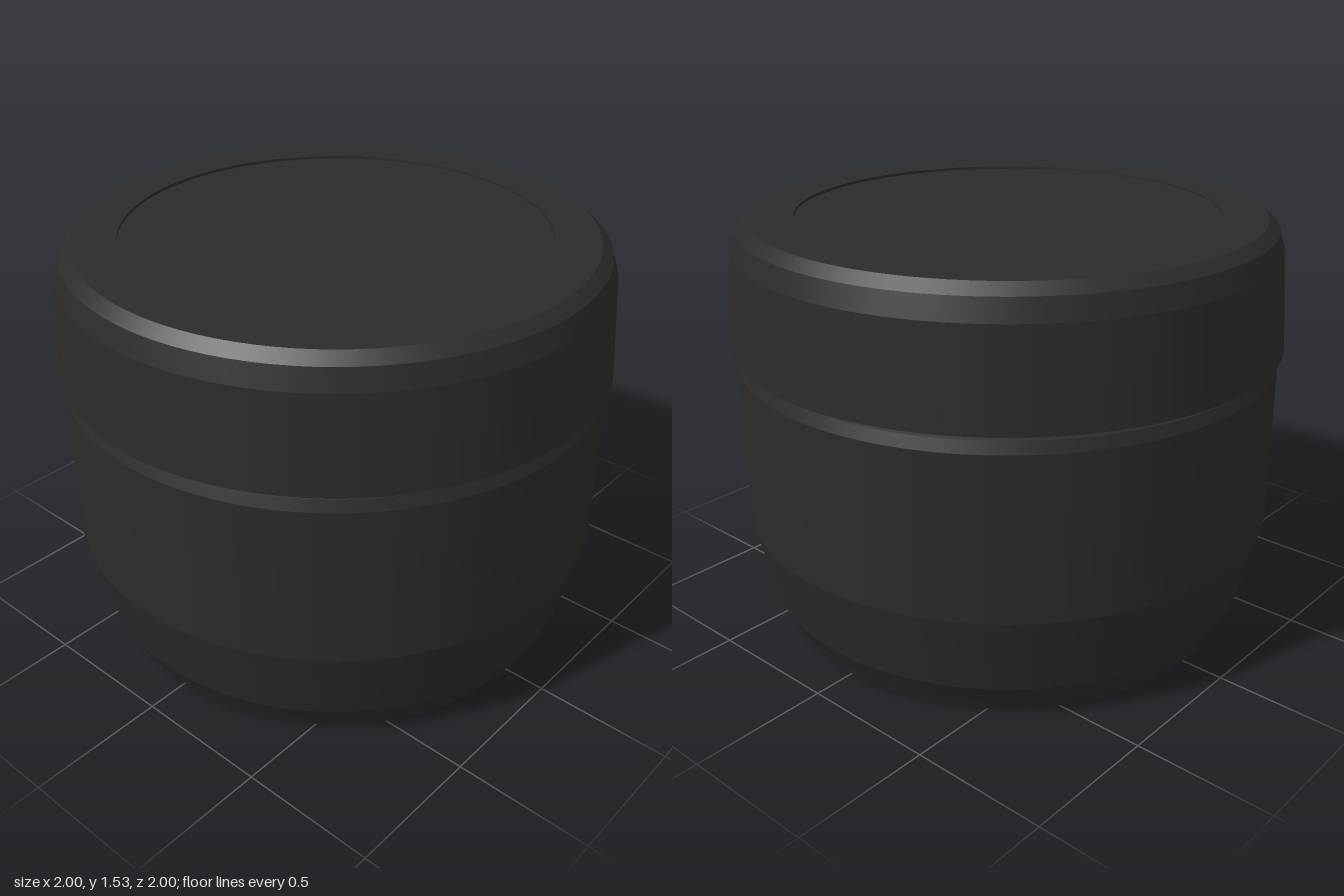
import * as THREE from 'three';
import { mergeGeometries } from 'three/addons/utils/BufferGeometryUtils.js';

const SEGMENTS = 96;

// Lathe that is smooth around the axis but keeps every profile corner sharp
function creasedLathe(profile) {
  const bands = [];
  for (let i = 0; i < profile.length - 1; i++) {
    const pair = [profile[i], profile[i + 1]].map(([r, y]) => new THREE.Vector2(r, y));
    bands.push(new THREE.LatheGeometry(pair, SEGMENTS));
  }
  return mergeGeometries(bands);
}

export function createModel() {
  const model = new THREE.Group();
  model.name = 'jar';

  const black = new THREE.MeshStandardMaterial({ color: 0x2b2b2b });
  black.name = 'charcoal black';

  const addPart = (name, profile) => {
    const mesh = new THREE.Mesh(creasedLathe(profile), black);
    mesh.name = name;
    model.add(mesh);
  };

  // Jar body: recessed base, chamfered foot, straight wall, shoulder and neck
  addPart('body', [
    [0, 0.07], [0.58, 0.07], [0.68, 0], [0.84, 0], [0.865, 0.05],
    [0.91, 0.128], [0.983, 0.425], [0.983, 1.012], [0.968, 1.053],
    [0.92, 1.073], [0.9, 1.09],
  ]);

  // Lid: flat underside, tapered skirt, bevelled rim, shallow recessed top
  addPart('lid', [
    [0.88, 1.077], [1, 1.077], [0.975, 1.42], [0.953, 1.495],
    [0.913, 1.53], [0.755, 1.53], [0.755, 1.52], [0, 1.52],
  ]);

  return model;
}
